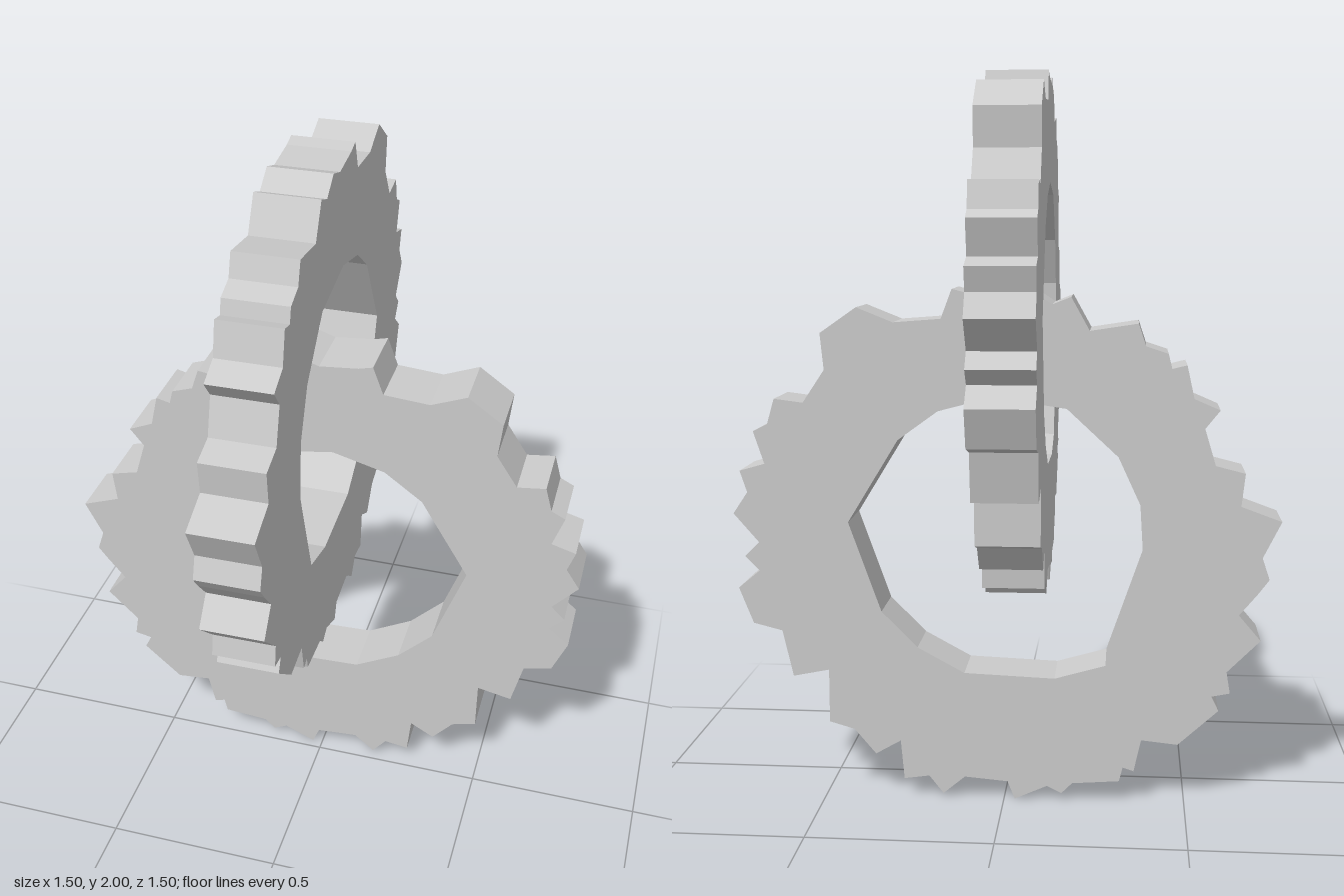
import * as THREE from 'three';

// Jagged rim (clockwise) and rough hole (counter-clockwise) of one link, in hundredths of a unit
const RIM = [
  [10, 70], [14, 71], [17, 63], [30, 62], [40, 66], [50, 59], [49, 49], [55, 40], [63, 41], [65, 34],
  [69, 32], [66, 23], [73, 21], [71, 15], [75, 9], [68, 1], [72, -3], [68, -7], [74, -12], [70, -22],
  [62, -24], [59, -37], [49, -35], [49, -50], [42, -52], [36, -59], [29, -55], [28, -66], [21, -65],
  [17, -70], [11, -65], [-1, -66], [-3, -71], [-12, -67], [-16, -69], [-19, -66], [-32, -65], [-33, -61],
  [-36, -62], [-38, -53], [-48, -54], [-59, -44], [-57, -40], [-62, -39], [-61, -33], [-70, -24],
  [-64, -17], [-69, -11], [-72, -7], [-70, -1], [-75, 9], [-64, 13], [-65, 22], [-57, 24], [-54, 34],
  [-58, 39], [-51, 42], [-49, 51], [-45, 50], [-44, 54], [-38, 56], [-36, 62], [-23, 60], [-18, 69],
  [-13, 67], [-7, 71], [-1, 69],
];
const HOLE = [
  [-17, 39], [-31, 26], [-37, 13], [-38, -3], [-28, -32], [-14, -36], [11, -35],
  [24, -28], [34, -18], [43, 7], [29, 30], [18, 38], [3, 42],
];
const THICKNESS = 0.168;

const toPoints = (list) => list.map(([x, y]) => new THREE.Vector2(x / 100, y / 100));

function linkGeometry() {
  const shape = new THREE.Shape(toPoints(RIM));
  shape.holes.push(new THREE.Path(toPoints(HOLE)));
  const geometry = new THREE.ExtrudeGeometry(shape, { depth: THICKNESS, bevelEnabled: false });
  return geometry.translate(0, 0, -THICKNESS / 2);
}

export function createModel() {
  const model = new THREE.Group();
  model.name = 'interlockedRings';
  const geometry = linkGeometry();
  const material = new THREE.MeshStandardMaterial({ color: 0xcccccc, flatShading: true });

  // Lower ring faces the front
  const lowerRing = new THREE.Mesh(geometry, material);
  lowerRing.name = 'lowerRing';
  lowerRing.position.set(0, 0.712, -0.11);

  // Upper ring is the same link, turned a quarter (and a touch more) through it
  const upperRing = new THREE.Mesh(geometry, material);
  upperRing.name = 'upperRing';
  upperRing.position.set(-0.03, 1.287, 0);
  upperRing.rotation.y = Math.PI / 2 + 0.009;

  model.add(lowerRing, upperRing);
  return model;
}
